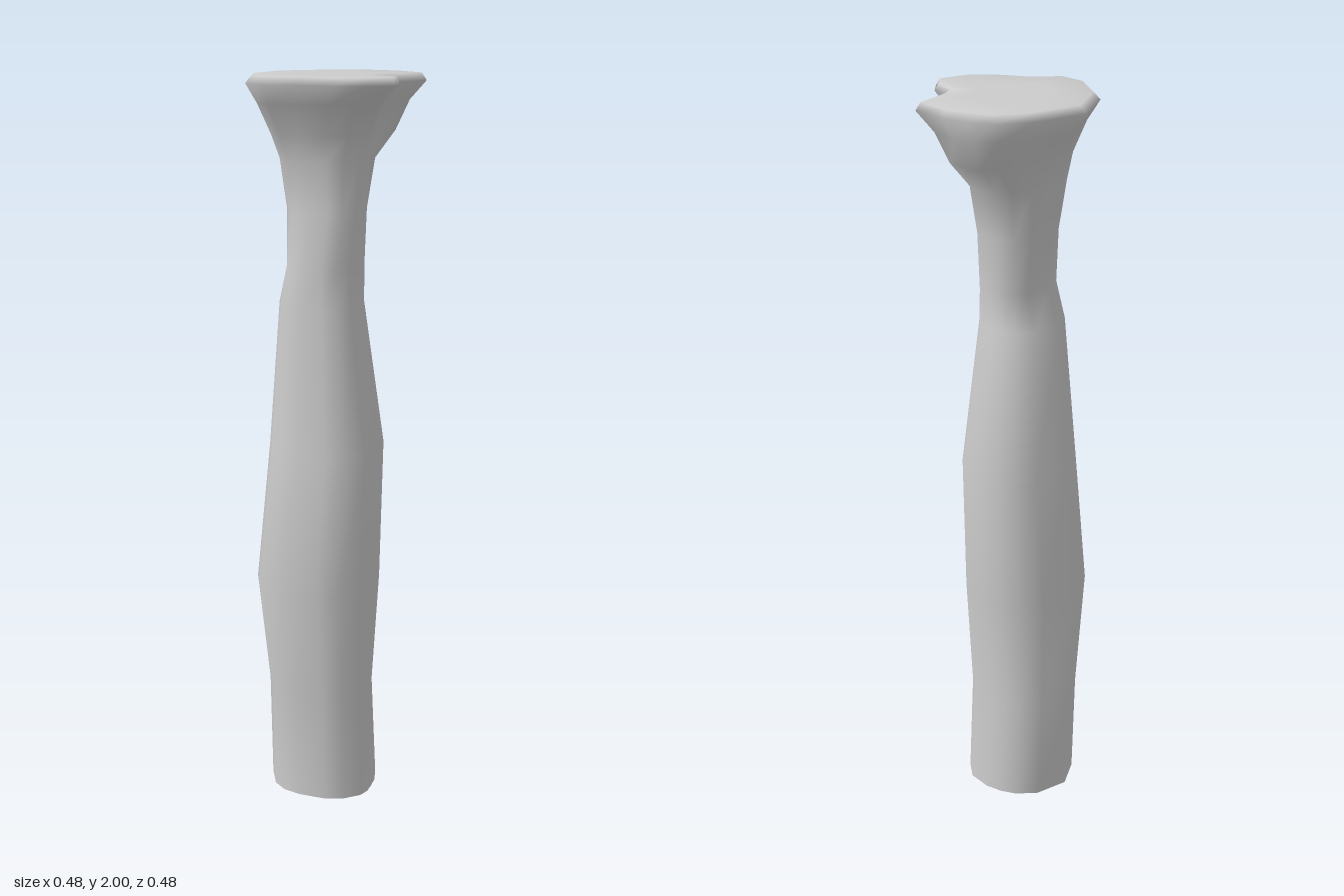
import * as THREE from 'three';

// Lobed outline of the flared head (x, z), running left, front, right, back
const OUTLINE = [
  [-0.24, 0], [-0.19, 0.14], [-0.10, 0.225], [-0.025, 0.24], [0.045, 0.185], [0.14, 0.15],
  [0.205, 0.10], [0.238, 0.025], [0.205, -0.025], [0.14, -0.055], [0.125, -0.10],
  [0.12, -0.215], [0.02, -0.24], [-0.05, -0.23], [-0.115, -0.21], [-0.18, -0.14],
];

// Cross-sections: y, xMin, xMax, zMin, zMax, share of the lobed outline (the rest is oval)
const SECTIONS = [
  [0.005, -0.21, 0.11, -0.148, 0.14, 0.2],
  [0.3, -0.215, 0.105, -0.135, 0.14, 0.2],
  [0.62, -0.215, 0.14, -0.14, 0.2, 0.25],
  [1.0, -0.2, 0.125, -0.16, 0.155, 0.25],
  [1.4, -0.15, 0.09, -0.09, 0.135, 0.25],
  [1.5, -0.12, 0.08, -0.09, 0.13, 0.25],
  [1.65, -0.14, 0.09, -0.095, 0.11, 0.3],
  [1.78, -0.16, 0.10, -0.125, 0.13, 0.45],
  [1.85, -0.172, 0.125, -0.19, 0.165, 0.65],
  [1.93, -0.205, 0.17, -0.22, 0.205, 0.85],
  [1.98, -0.24, 0.238, -0.24, 0.24, 1],
  [2.0, -0.222, 0.222, -0.228, 0.222, 1],
  [2.0, -0.11, 0.11, -0.115, 0.11, 0.9],
];

// Stretch values so that they span min..max exactly
function fit(values, min, max) {
  const lo = Math.min(...values), hi = Math.max(...values);
  return values.map((v) => min + ((v - lo) / (hi - lo)) * (max - min));
}

function shaftGeometry() {
  const n = OUTLINE.length;
  const positions = [], indices = [];
  for (const [y, x0, x1, z0, z1, lobed] of SECTIONS) {
    const ring = OUTLINE.map(([x, z]) => {
      const k = lobed + (1 - lobed) * (0.24 / Math.hypot(x, z));
      return [x * k, z * k];
    });
    const xs = fit(ring.map((p) => p[0]), x0, x1);
    const zs = fit(ring.map((p) => p[1]), z0, z1);
    for (let i = 0; i < n; i++) positions.push(xs[i], y, zs[i]);
  }
  // Side walls
  for (let r = 0; r < SECTIONS.length - 1; r++) {
    for (let i = 0; i < n; i++) {
      const a = r * n + i, b = r * n + ((i + 1) % n);
      indices.push(a, b, b + n, a, b + n, a + n);
    }
  }
  // Flat top; the lower end stays open
  const last = (SECTIONS.length - 1) * n;
  positions.push(0, 2, 0);
  for (let i = 0; i < n; i++) indices.push(last + i, last + ((i + 1) % n), last + n);

  const geometry = new THREE.BufferGeometry();
  geometry.setAttribute('position', new THREE.Float32BufferAttribute(positions, 3));
  geometry.setIndex(indices);
  geometry.computeVertexNormals();
  return geometry;
}

export function createModel() {
  const group = new THREE.Group();
  group.name = 'flaredShaft';
  const grey = new THREE.MeshStandardMaterial({ color: 0xcccccc, side: THREE.DoubleSide });
  grey.name = 'lightGrey';
  const shaft = new THREE.Mesh(shaftGeometry(), grey);
  shaft.name = 'shaft';
  group.add(shaft);
  return group;
}
